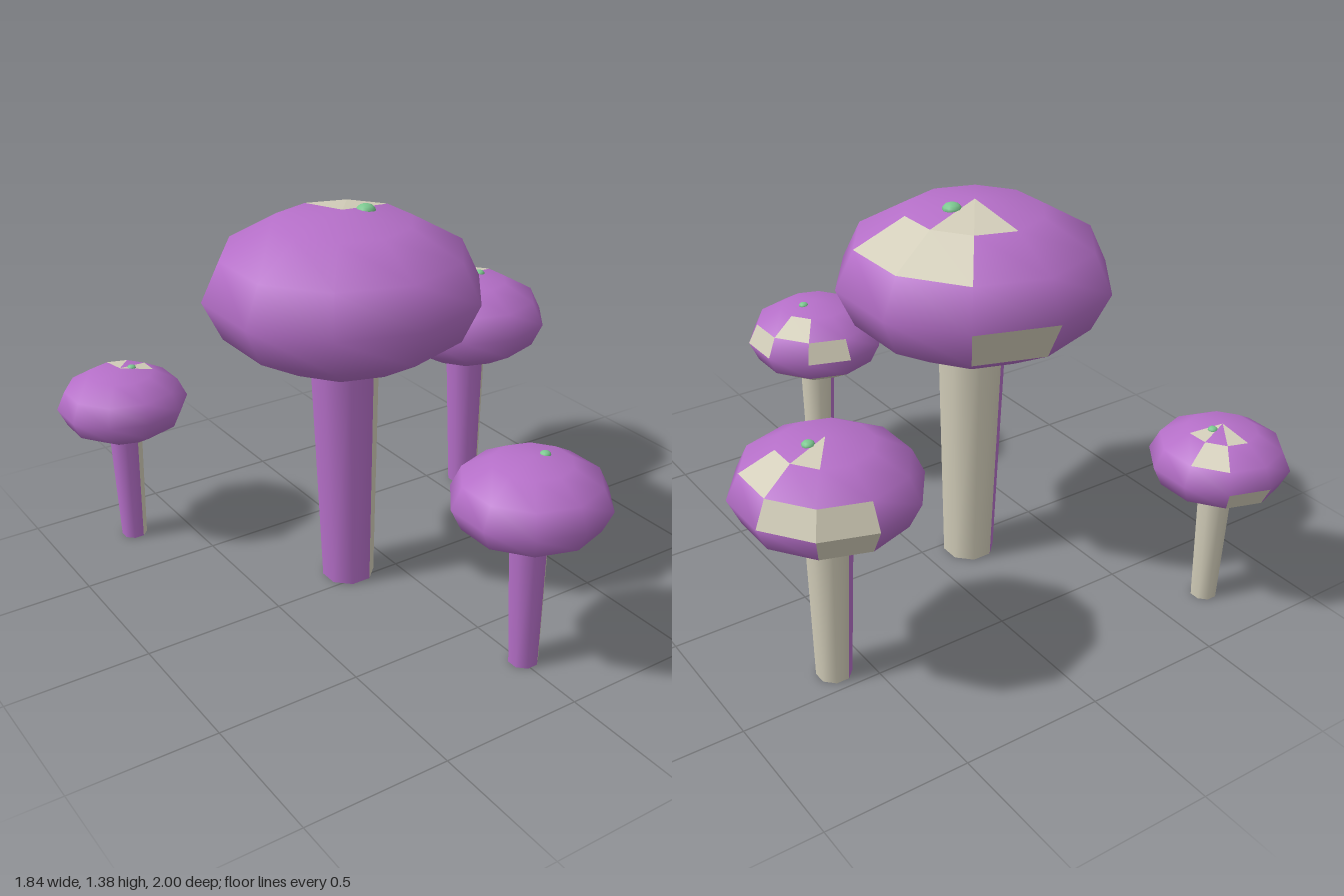
import * as THREE from 'three';

const purple = new THREE.MeshStandardMaterial({ name: 'purple', color: 0xb56fc8 });
const beige = new THREE.MeshStandardMaterial({ name: 'beige', color: 0xd2cdb9 });
const green = new THREE.MeshStandardMaterial({ name: 'green', color: 0x7cc890 });

const SIDES = 10, ROWS = 6;

// Each mushroom: position, cap radius, cap half height, beige cap panels as [row, sector]
const mushrooms = [
  { name: 'largeMushroom', x: -0.17, z: -0.06, y: 1.105, r: 0.48, h: 0.273,
    panels: [[0, 3], [0, 4], [1, 2], [1, 3], [3, 4], [5, 4]] },
  { name: 'leftMushroom', x: 0.62, z: -0.41, y: 0.72, r: 0.31, h: 0.175,
    panels: [[0, 3], [1, 2], [2, 3], [2, 4], [3, 4], [4, 4]] },
  { name: 'frontMushroom', x: 0.01, z: 0.733, y: 0.61, r: 0.265, h: 0.15,
    panels: [[1, 3], [2, 2], [2, 4], [4, 3], [4, 4]] },
  { name: 'backMushroom', x: -0.70, z: -0.763, y: 0.555, r: 0.238, h: 0.136,
    panels: [[0, 2], [0, 4], [1, 3], [3, 4], [4, 3], [4, 4]] },
];

function addMesh(group, name, geometry, material) {
  const mesh = new THREE.Mesh(geometry, material);
  mesh.name = name;
  group.add(mesh);
  return mesh;
}

// Squashed sphere split into a smooth purple skin and flat beige panels
function addCap(group, { y, r, h, panels }) {
  const sphere = new THREE.SphereGeometry(1, SIDES, ROWS, Math.PI / 2);
  sphere.scale(r, h, r);
  sphere.translate(0, y, 0);
  const source = Array.from(sphere.index.array);
  const skin = [], painted = [];
  let at = 0;
  for (let row = 0; row < ROWS; row++) {
    const count = row === 0 || row === ROWS - 1 ? 3 : 6;
    for (let sector = 0; sector < SIDES; sector++) {
      const isPanel = panels.some(([a, b]) => a === row && b === sector);
      (isPanel ? painted : skin).push(...source.slice(at, at + count));
      at += count;
    }
  }
  const skinGeometry = sphere.clone();
  skinGeometry.setIndex(skin);
  addMesh(group, 'cap', skinGeometry, purple);

  sphere.setIndex(painted);
  const panelGeometry = sphere.toNonIndexed();
  panelGeometry.computeVertexNormals();
  addMesh(group, 'capPanels', panelGeometry, beige);
}

// Tapered eight-sided stem: one half beige, the other purple, with a purple base
function addStem(group, { y, r, h }) {
  const height = y - 0.6 * h;
  const bottom = 0.195 * r, top = 0.255 * r;
  const start = Math.PI / 8;
  const half = (name, angle, material) => {
    const side = new THREE.CylinderGeometry(top, bottom, height, 4, 1, true, angle, Math.PI);
    side.translate(0, height / 2, 0);
    addMesh(group, name, side, material);
  };
  half('stemBeigeHalf', start, beige);
  half('stemPurpleHalf', start + Math.PI, purple);

  const base = new THREE.CircleGeometry(bottom, 8, start);
  base.rotateX(Math.PI / 2);
  addMesh(group, 'stemBase', base, purple);
}

export function createModel() {
  const model = new THREE.Group();
  model.name = 'mushroomCluster';
  for (const spec of mushrooms) {
    const group = new THREE.Group();
    group.name = spec.name;
    group.position.set(spec.x, 0, spec.z);
    addStem(group, spec);
    addCap(group, spec);

    // Small green bump beside the top of the cap
    const bump = addMesh(group, 'capBump', new THREE.SphereGeometry(1, 10, 8), green);
    bump.scale.set(0.07 * spec.r, 0.045 * spec.r, 0.07 * spec.r);
    bump.position.set(0.19 * spec.r, spec.y + 0.94 * spec.h, 0);
    model.add(group);
  }
  return model;
}
